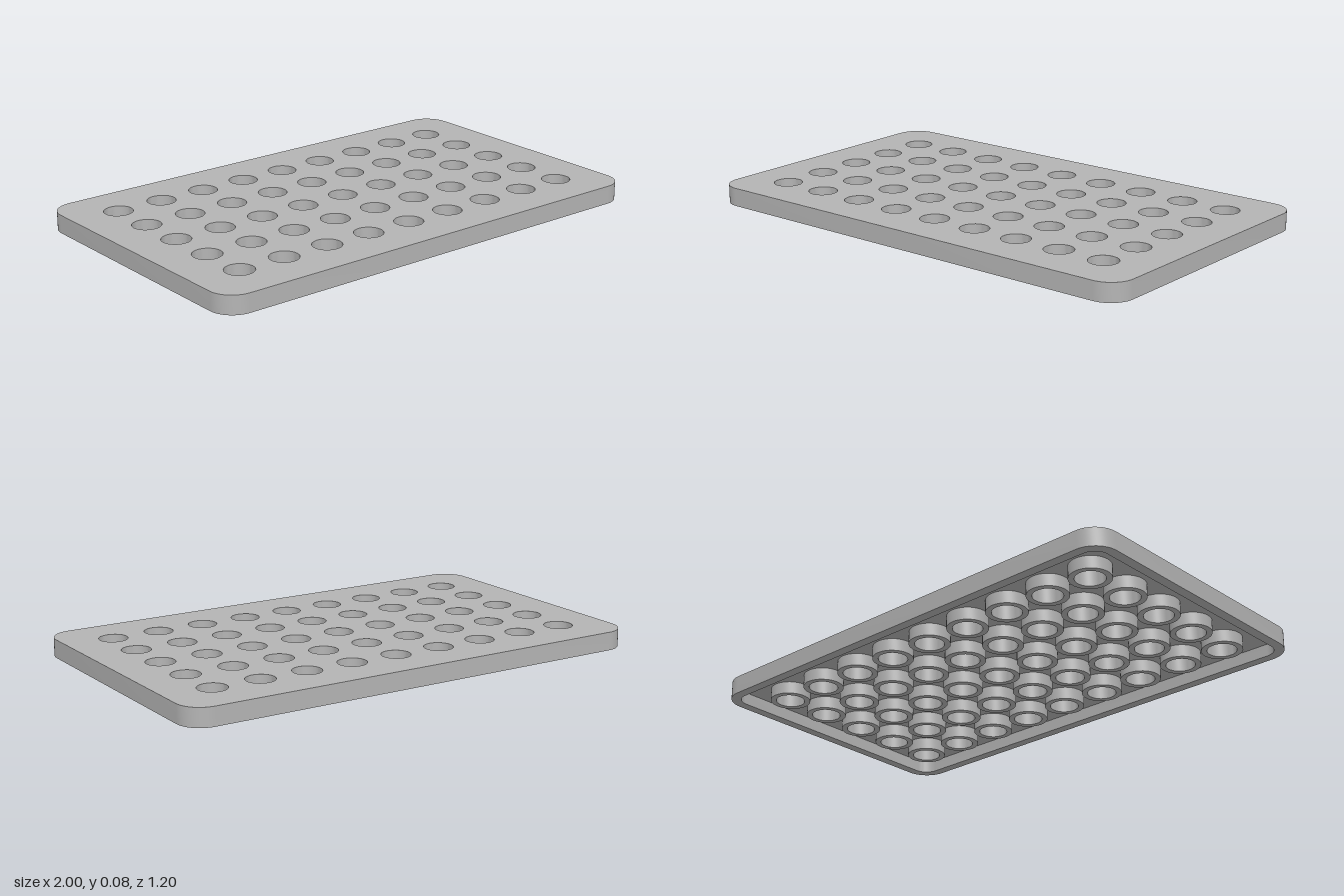
import * as THREE from 'three';
import { toCreasedNormals } from 'three/addons/utils/BufferGeometryUtils.js';

const HEIGHT = 0.075, UNDERSIDE = 0.05; // top face and underside of the deck
const HALF_X = 1, HALF_Z = 0.6, CORNER = 0.1, RIM = 0.04;
const HOLE = 0.058, TUBE = 0.081, PITCH = 0.2;

// Counter-clockwise circle of points
function circle(radius, cx = 0, cy = 0, n = 40) {
  return Array.from({ length: n }, (_, i) => {
    const a = (i / n) * Math.PI * 2;
    return new THREE.Vector2(cx + radius * Math.cos(a), cy + radius * Math.sin(a));
  });
}

// Counter-clockwise rounded rectangle, shrunk by an inset
function roundedLoop(inset) {
  const r = CORNER - inset, n = 12, points = [];
  const corners = [[1, 1], [-1, 1], [-1, -1], [1, -1]];
  corners.forEach(([sx, sy], c) => {
    for (let i = 0; i <= n; i++) {
      const a = (c + i / n) * Math.PI / 2;
      points.push(new THREE.Vector2(
        sx * (HALF_X - CORNER) + r * Math.cos(a),
        sy * (HALF_Z - CORNER) + r * Math.sin(a)));
    }
  });
  return points;
}

// Skin through a series of [loop, height] rings
function skin(rings) {
  const positions = [], index = [], n = rings[0][0].length;
  for (const [loop, y] of rings) for (const p of loop) positions.push(p.x, y, -p.y);
  for (let k = 0; k < rings.length - 1; k++) {
    for (let i = 0; i < n; i++) {
      const j = (i + 1) % n, a = k * n, b = a + n;
      index.push(a + i, b + i, b + j, a + i, b + j, a + j);
    }
  }
  const geometry = new THREE.BufferGeometry();
  geometry.setAttribute('position', new THREE.Float32BufferAttribute(positions, 3));
  geometry.setIndex(index);
  return toCreasedNormals(geometry, Math.PI / 5);
}

export function createModel() {
  const model = new THREE.Group();
  model.name = 'perforatedTray';
  const grey = new THREE.MeshStandardMaterial({ color: 0xb4b4b4 });
  grey.name = 'grey';

  const add = (name, geometry, x = 0, y = 0, z = 0) => {
    const mesh = new THREE.Mesh(geometry, grey);
    mesh.name = name;
    mesh.position.set(x, y, z);
    model.add(mesh);
  };

  // Nine by five grid of hole centres
  const centres = [];
  for (let i = -4; i <= 4; i++) {
    for (let j = -2; j <= 2; j++) centres.push([i * PITCH, j * PITCH]);
  }

  const perforated = (outline, radius) => {
    const shape = new THREE.Shape(outline);
    shape.holes = centres.map(([x, y]) => new THREE.Path(circle(radius, x, y)));
    return new THREE.ShapeGeometry(shape);
  };

  const outer = roundedLoop(0), inner = roundedLoop(RIM);

  // Deck: perforated top face and recessed underside
  add('deckTop', perforated(outer, HOLE).rotateX(-Math.PI / 2), 0, HEIGHT);
  add('deckUnderside', perforated(inner, TUBE).rotateX(Math.PI / 2), 0, UNDERSIDE);

  // Rim around the tray: outside wall, bottom edge, inside wall
  add('rim', skin([[outer, HEIGHT], [outer, 0], [inner, 0], [inner, UNDERSIDE]]));

  // Tubes lining each hole and reaching down to the ground
  const tubeOuter = circle(TUBE), tubeInner = circle(HOLE);
  const tube = skin([[tubeOuter, UNDERSIDE], [tubeOuter, 0], [tubeInner, 0], [tubeInner, HEIGHT]]);
  for (const [x, z] of centres) add('tube', tube, x, 0, z);

  return model;
}
